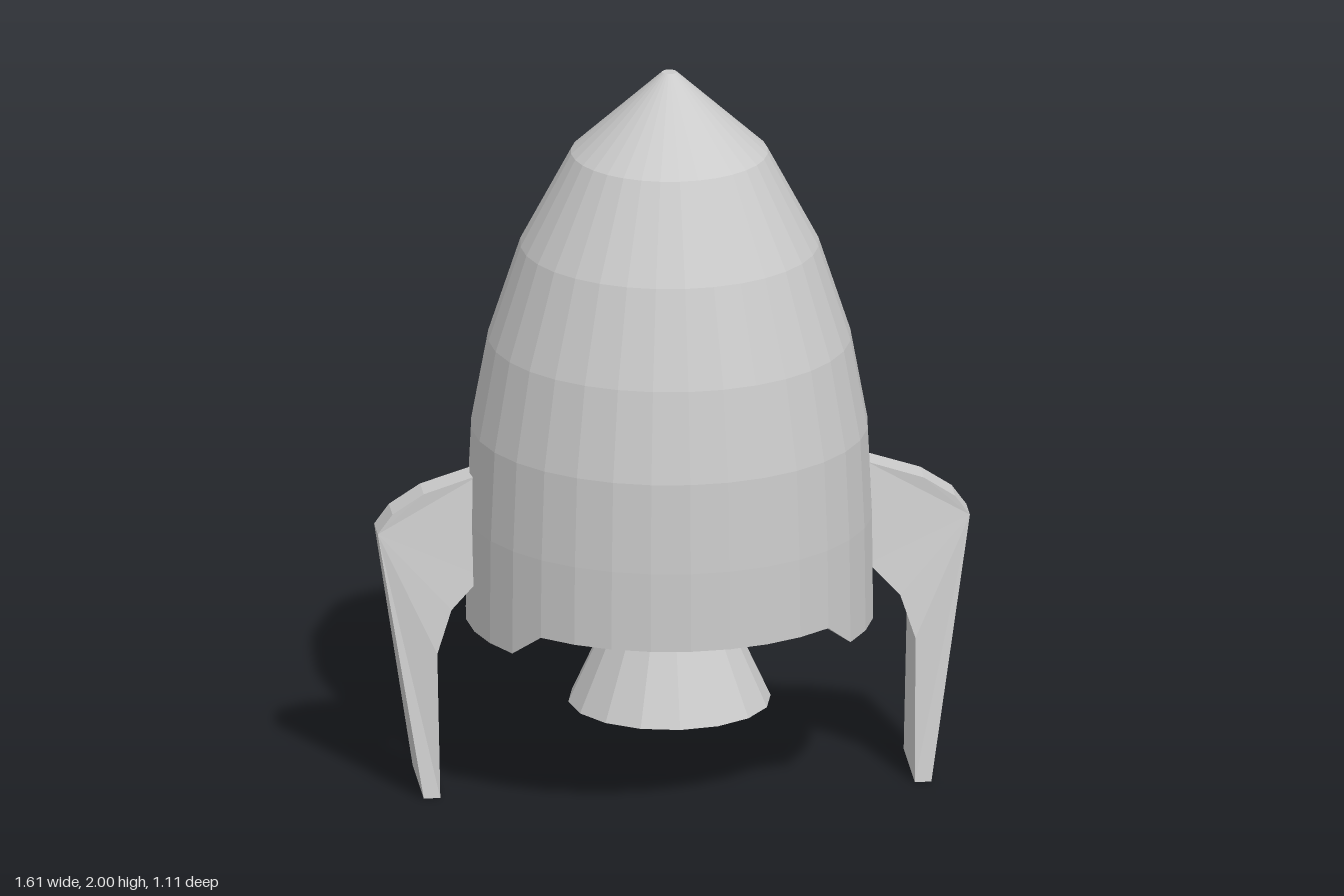
import * as THREE from 'three';

const material = new THREE.MeshStandardMaterial({ color: 0xcccccc, flatShading: true });
const CENTRE_X = -0.007;
const SIDES = 32;
const RIM_Y = 0.53;
const SKIRT_Y = 0.46;
const RIM_R = 0.553;

function addMesh(parent, name, geometry) {
  const mesh = new THREE.Mesh(geometry, material);
  mesh.name = name;
  parent.add(mesh);
  return mesh;
}

function indexedGeometry(positions, index) {
  const g = new THREE.BufferGeometry();
  g.setAttribute('position', new THREE.Float32BufferAttribute(positions, 3));
  g.setIndex(index);
  g.computeVertexNormals();
  return g;
}

// The lower rim drops into a short skirt on both leg sides
const rimHeight = (z) => (Math.abs(z) < 0.33 ? SKIRT_Y : RIM_Y);

// Faceted hull, turned from a bullet profile
function hullGeometry() {
  const profile = [
    [RIM_R, RIM_Y], [0.55, 0.75], [0.538, 1.0], [0.492, 1.25],
    [0.405, 1.515], [0.267, 1.775], [0.02, 2], [0, 2],
  ].map(([r, y]) => new THREE.Vector2(r, y));
  const g = new THREE.LatheGeometry(profile, SIDES);
  const p = g.attributes.position;
  for (let i = 0; i < p.count; i++) {
    if (Math.abs(p.getY(i) - RIM_Y) < 0.001) p.setY(i, rimHeight(p.getZ(i)));
  }
  g.computeVertexNormals();
  return g;
}

// Underside: a fan from the rearmost rim corner
function undersideGeometry() {
  const positions = [];
  const index = [];
  for (let i = 0; i < SIDES; i++) {
    const a = Math.PI + (i / SIDES) * Math.PI * 2;
    const z = RIM_R * Math.cos(a);
    positions.push(RIM_R * Math.sin(a), rimHeight(z), z);
    if (i > 0 && i < SIDES - 1) index.push(0, i + 1, i);
  }
  return indexedGeometry(positions, index);
}

// Landing leg: side outline with a half-thickness at each corner,
// listed clockwise from the shoulder
function legGeometry() {
  const outline = [
    [0.805, 0.725, 0.047], // shoulder
    [0.69, 0, 0.143], [0.645, 0, 0.143], // foot
    [0.65, 0.4, 0.113], [0.61, 0.52, 0.1], [0.525, 0.61, 0.09], // inner edge
    [0.525, 0.885, 0.045], [0.68, 0.835, 0.047], [0.765, 0.78, 0.047], // top edge
  ];
  const n = outline.length;
  const positions = [];
  const index = [];
  for (const side of [1, -1]) {
    for (const [x, y, z] of outline) positions.push(x, y, z * side);
  }
  for (let i = 0; i < n; i++) {
    const j = (i + 1) % n;
    index.push(i, j, j + n, i, j + n, i + n);
    if (i > 0 && i < n - 1) index.push(0, j, i, n, i + n, j + n);
  }
  return indexedGeometry(positions, index);
}

export function createModel() {
  const model = new THREE.Group();
  model.name = 'rocket';

  const body = new THREE.Group();
  body.name = 'body';
  body.position.x = CENTRE_X;
  model.add(body);
  addMesh(body, 'hull', hullGeometry());
  addMesh(body, 'underside', undersideGeometry());

  // Flared engine nozzle, closed at the bottom
  const nozzle = addMesh(body, 'nozzle', new THREE.CylinderGeometry(0.13, 0.275, 0.315, 16));
  nozzle.position.y = 0.215 + 0.315 / 2;

  // Two opposite legs
  const leg = legGeometry();
  addMesh(model, 'leftLeg', leg);
  addMesh(model, 'rightLeg', leg).rotation.y = Math.PI;

  return model;
}
